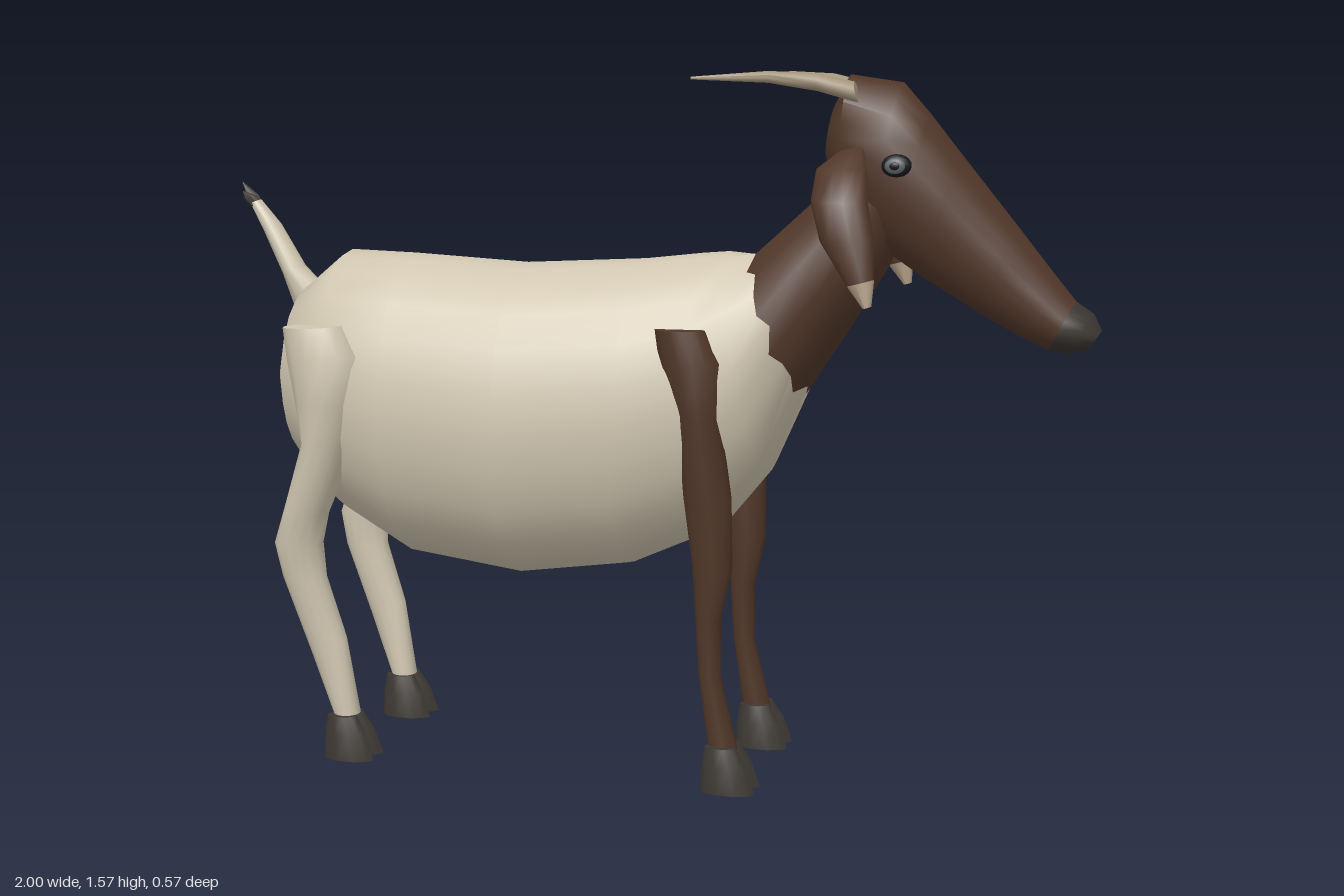
import * as THREE from 'three';
import { toCreasedNormals } from 'three/addons/utils/BufferGeometryUtils.js';

const mat = (name, color) => {
  const m = new THREE.MeshStandardMaterial({ color });
  m.name = name;
  return m;
};

// Skin a closed tube over elliptical rings. Each ring is
// [x1, y1, x2, y2, halfWidth, zCentre, jag]: two opposite edge points in the side plane.
function loft(rings, n = 16, side = 1, crease = 0.9) {
  const pos = [], idx = [];
  for (const [x1, y1, x2, y2, w, z = 0, jag = 0] of rings) {
    for (let i = 0; i < n; i++) {
      const a = (i / n) * Math.PI * 2, c = Math.cos(a) / 2, j = jag * Math.sin(i * 2.4);
      pos.push((x1 + x2) / 2 + (x1 - x2) * c + j * 0.6,
        (y1 + y2) / 2 + (y1 - y2) * c + j * 0.8,
        side * z + Math.sin(a) * w);
    }
  }
  const last = rings.length - 1;
  for (let r = 0; r < last; r++) {
    for (let i = 0; i < n; i++) {
      const a = r * n + i, b = r * n + (i + 1) % n;
      idx.push(a, b, a + n, b, b + n, a + n);
    }
  }
  // end caps
  for (const r of [0, last]) {
    const [x1, y1, x2, y2, , z = 0] = rings[r], centre = pos.length / 3;
    pos.push((x1 + x2) / 2, (y1 + y2) / 2, side * z);
    for (let i = 0; i < n; i++) {
      const a = r * n + i, b = r * n + (i + 1) % n;
      if (r) idx.push(a, b, centre); else idx.push(b, a, centre);
    }
  }
  // turn the faces outward if the enclosed volume is negative
  const p = (k) => new THREE.Vector3().fromArray(pos, k * 3);
  let volume = 0;
  for (let t = 0; t < idx.length; t += 3) volume += p(idx[t]).dot(p(idx[t + 1]).cross(p(idx[t + 2])));
  if (volume < 0) idx.reverse();
  const g = new THREE.BufferGeometry();
  g.setAttribute('position', new THREE.Float32BufferAttribute(pos, 3));
  g.setIndex(idx);
  return toCreasedNormals(g, crease);
}

export function createModel() {
  const cream = mat('cream coat', 0xd0c6b0);
  const brown = mat('brown coat', 0x513729);
  const dark = mat('hoof and nose', 0x3b3631);
  const horn = mat('horn', 0xa4957c);
  const pale = mat('pale ear tip', 0xb9a58c);
  const black = mat('eye black', 0x17181a);
  const grey = mat('iris grey', 0x5d6468);

  const model = new THREE.Group();
  model.name = 'goat';
  const add = (name, geometry, material) => {
    const m = new THREE.Mesh(geometry, material);
    m.name = name;
    model.add(m);
    return m;
  };

  // barrel and neck meet along a ragged colour edge
  const collar = [0.25, 1.17, 0.37, 0.87, 0.175, 0, 0.016];
  add('body', loft([
    [-0.87, 0.93, -0.88, 0.82, 0.06],
    [-0.82, 1.07, -0.82, 0.67, 0.17],
    [-0.71, 1.16, -0.71, 0.55, 0.235],
    [-0.55, 1.155, -0.55, 0.46, 0.262],
    [-0.28, 1.14, -0.28, 0.425, 0.272],
    [0, 1.155, -0.03, 0.46, 0.252],
    [0.13, 1.17, 0.18, 0.555, 0.22],
    [0.19, 1.175, 0.29, 0.69, 0.2],
    collar,
  ], 24), cream);
  add('neck', loft([
    collar,
    [0.32, 1.235, 0.46, 1.01, 0.15],
    [0.38, 1.29, 0.545, 1.15, 0.125],
    [0.43, 1.36, 0.58, 1.24, 0.105],
  ], 24), brown);

  // head and muzzle
  const muzzle = [0.945, 1.085, 0.89, 0.98, 0.074];
  add('head', loft([
    [0.425, 1.5, 0.405, 1.38, 0.05],
    [0.455, 1.56, 0.44, 1.28, 0.092],
    [0.57, 1.543, 0.51, 1.2, 0.115],
    [0.63, 1.475, 0.57, 1.16, 0.112],
    [0.69, 1.4, 0.63, 1.12, 0.102],
    [0.82, 1.24, 0.74, 1.055, 0.083],
    [0.9, 1.14, 0.83, 1.005, 0.076],
    muzzle,
  ], 20), brown);
  add('nose', loft([
    muzzle,
    [0.982, 1.06, 0.935, 0.972, 0.07],
    [1, 1.025, 0.975, 0.985, 0.045],
  ], 20), dark);

  // tail and tuft
  add('tail', loft([
    [-0.85, 1.0, -0.78, 1.07, 0.04],
    [-0.885, 1.1, -0.835, 1.12, 0.034],
    [-0.935, 1.2, -0.895, 1.215, 0.026, -0.005],
    [-0.97, 1.26, -0.945, 1.27, 0.015, -0.01],
  ], 10), cream);
  for (const [x, y, z] of [[-1, 1.31, -0.03], [-0.985, 1.29, 0], [-0.995, 1.275, -0.015]]) {
    add('tailTuft', loft([
      [-0.965, 1.25, -0.94, 1.26, 0.013, -0.008],
      [-0.985, 1.27, -0.955, 1.28, 0.012, (z - 0.01) / 2],
      [x - 0.001, y, x, y, 0.002, z],
    ], 6), dark);
  }

  // mirrored parts: left side is -z of the walking direction's mirror
  for (const s of [1, -1]) {
    add('horn', loft([
      [0.475, 1.545, 0.485, 1.5, 0.024, 0.07],
      [0.4, 1.562, 0.4, 1.525, 0.02, 0.095],
      [0.3, 1.567, 0.3, 1.542, 0.014, 0.12],
      [0.14, 1.555, 0.14, 1.549, 0.003, 0.155],
    ], 10, s), horn);

    const earEnd = [0.5, 1.13, 0.557, 1.145, 0.022, 0.262];
    add('ear', loft([
      [0.45, 1.4, 0.5, 1.41, 0.03, 0.09],
      [0.415, 1.365, 0.522, 1.365, 0.036, 0.17],
      [0.415, 1.3, 0.535, 1.3, 0.034, 0.225],
      [0.44, 1.22, 0.552, 1.225, 0.028, 0.25],
      earEnd,
    ], 14, s), brown);
    add('earTip', loft([earEnd, [0.535, 1.085, 0.553, 1.09, 0.015, 0.267]], 14, s), pale);

    // eye: dark ball, iris and pupil
    const ball = (name, r, depth, z, m) => {
      const g = new THREE.SphereGeometry(r, 14, 10);
      g.scale(1, 0.75, depth);
      add(name, g, m).position.set(0.572, 1.37, s * z);
    };
    ball('eye', 0.034, 0.6, 0.105, black);
    ball('iris', 0.022, 0.3, 0.121, grey);
    ball('pupil', 0.011, 0.3, 0.126, black);

    // front leg, shoulder to pastern
    add('frontLeg', loft([
      [0.07, 1.02, 0.18, 1.02, 0.045, 0.188],
      [0.08, 0.94, 0.22, 0.95, 0.053, 0.187],
      [0.12, 0.84, 0.215, 0.83, 0.056, 0.182],
      [0.13, 0.66, 0.238, 0.65, 0.05, 0.17],
      [0.15, 0.5, 0.24, 0.5, 0.043, 0.165],
      [0.157, 0.4, 0.215, 0.38, 0.036, 0.165],
      [0.165, 0.26, 0.215, 0.25, 0.03, 0.165],
      [0.19, 0.08, 0.255, 0.09, 0.032, 0.168],
    ], 14, s), brown);

    // hind leg, haunch to pastern
    add('hindLeg', loft([
      [-0.79, 1.0, -0.65, 1.005, 0.055, 0.208],
      [-0.78, 0.93, -0.6, 0.94, 0.07, 0.21],
      [-0.765, 0.84, -0.615, 0.83, 0.075, 0.202],
      [-0.752, 0.74, -0.655, 0.68, 0.07, 0.196],
      [-0.8, 0.6, -0.705, 0.57, 0.053, 0.19],
      [-0.835, 0.5, -0.72, 0.5, 0.045, 0.187],
      [-0.82, 0.42, -0.715, 0.42, 0.038, 0.182],
      [-0.755, 0.24, -0.67, 0.28, 0.03, 0.178],
      [-0.7, 0.09, -0.643, 0.1, 0.032, 0.174],
    ], 14, s), cream);

    // cloven hooves
    for (const [dx, z] of [[0, 0.17], [-0.897, 0.176]]) {
      for (const t of [-1, 1]) {
        add('hoof', loft([
          [0.185 + dx, 0.1, 0.255 + dx, 0.1, 0.022, z + t * 0.02],
          [0.18 + dx, 0.06, 0.28 + dx, 0.06, 0.027, z + t * 0.026],
          [0.178 + dx, 0, 0.3 + dx, 0, 0.027, z + t * 0.03],
        ], 10, s), dark);
      }
    }
  }
  return model;
}
